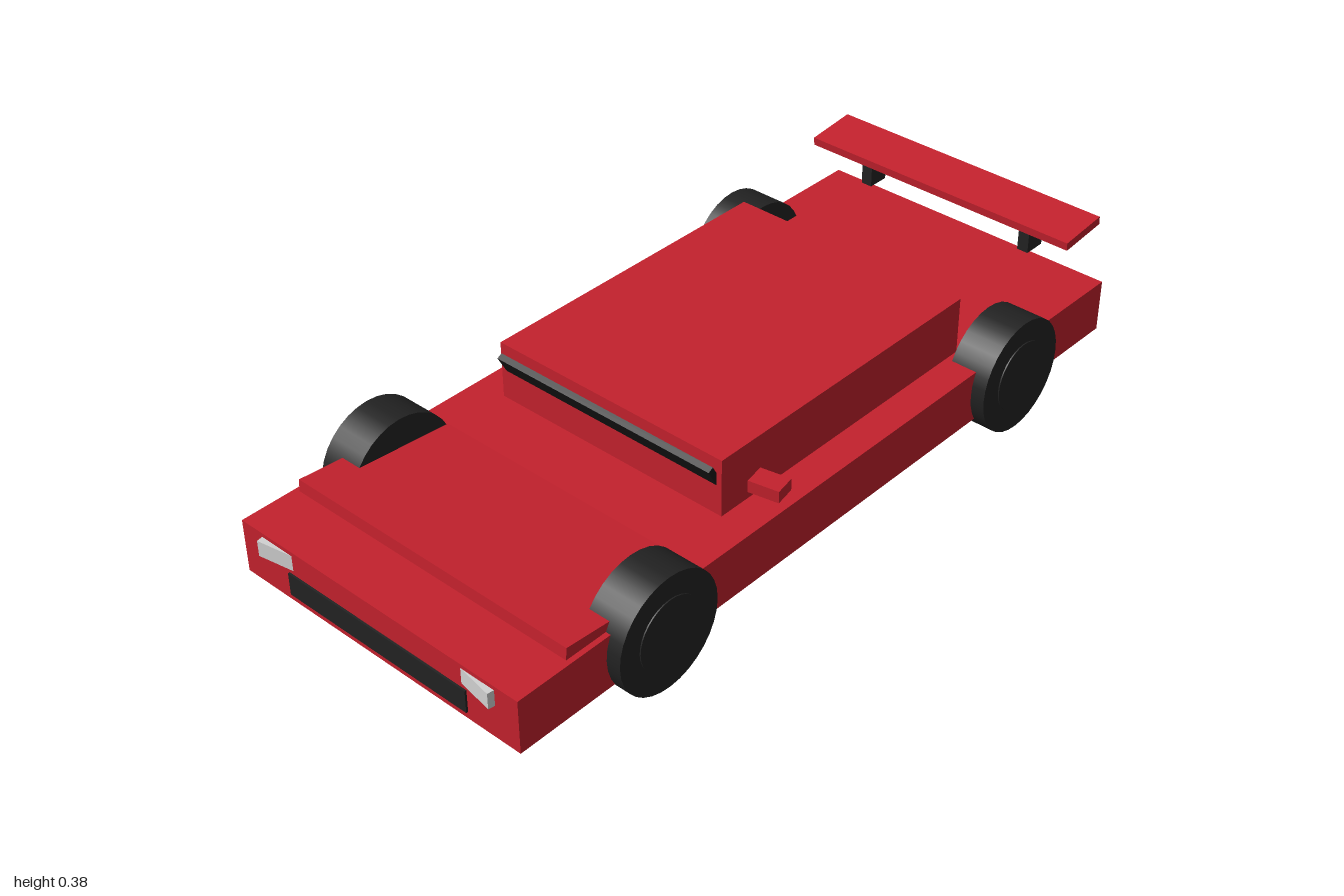
import * as THREE from 'three';

export function createModel() {
  const car = new THREE.Group();
  car.name = 'sportsCar';

  const mat = (name, color) => {
    const m = new THREE.MeshStandardMaterial({ color });
    m.name = name;
    return m;
  };
  const red = mat('red paint', 0xc4212d);
  const rubber = mat('black rubber', 0x222222);
  const glass = mat('dark glass', 0x181818);
  const lamp = mat('lamp grey', 0xd2d2d2);
  const tail = mat('tail light red', 0xd01c10);

  // Box from size, centre and optional tilt (about x) and yaw (about y)
  const box = (name, material, [w, h, d], [x, y, z], tilt = 0, yaw = 0) => {
    const mesh = new THREE.Mesh(new THREE.BoxGeometry(w, h, d), material);
    mesh.name = name;
    mesh.position.set(x, y, z);
    mesh.rotation.set(tilt, yaw, 0);
    car.add(mesh);
    return mesh;
  };

  // Body, hood and cabin
  box('body', red, [0.82, 0.135, 1.973], [0, 0.1375, -0.0065]);
  box('hood', red, [0.794, 0.05, 0.45], [0, 0.192, 0.612], -0.08);
  box('cabin', red, [0.652, 0.15, 0.82], [0, 0.275, -0.105]);

  // Windows lean outwards at the top
  box('windscreen', glass, [0.624, 0.06, 0.015], [0, 0.303, 0.309], 0.5);
  box('rearWindow', glass, [0.612, 0.06, 0.015], [0, 0.296, -0.522], -0.5);

  // Front grille
  box('grille', rubber, [0.53, 0.057, 0.01], [0, 0.1165, 0.98]);

  // Rear wing
  box('wing', red, [0.77, 0.021, 0.135], [0, 0.363, -0.922], 0.1);

  // Wheel with a slightly raised hub on its outer side
  const wheel = (side, z, name) => {
    const group = new THREE.Group();
    group.name = name;
    const tyre = new THREE.Mesh(new THREE.CylinderGeometry(0.144, 0.144, 0.104, 32), rubber);
    tyre.name = 'tyre';
    const hub = new THREE.Mesh(new THREE.CylinderGeometry(0.088, 0.088, 0.004, 32), rubber);
    hub.name = 'hub';
    hub.position.y = -side * 0.053;
    group.add(tyre, hub);
    group.rotation.z = Math.PI / 2;
    group.position.set(side * 0.394, 0.145, z);
    car.add(group);
  };

  // Paired parts
  for (const side of [-1, 1]) {
    const s = side > 0 ? 'left' : 'right';
    wheel(side, 0.596, s + 'FrontWheel');
    wheel(side, -0.608, s + 'RearWheel');
    box(s + 'Headlight', lamp, [0.105, 0.04, 0.03], [side * 0.294, 0.175, 0.972], 0, -side * 0.17);
    box(s + 'TailLight', tail, [0.17, 0.045, 0.012], [side * 0.253, 0.177, -0.992]);
    box(s + 'Mirror', red, [0.075, 0.03, 0.053], [side * 0.373, 0.255, 0.207], 0, side * 0.19);
    box(s + 'WingStrut', rubber, [0.03, 0.084, 0.058], [side * 0.24, 0.312, -0.92]);
  }

  return car;
}
